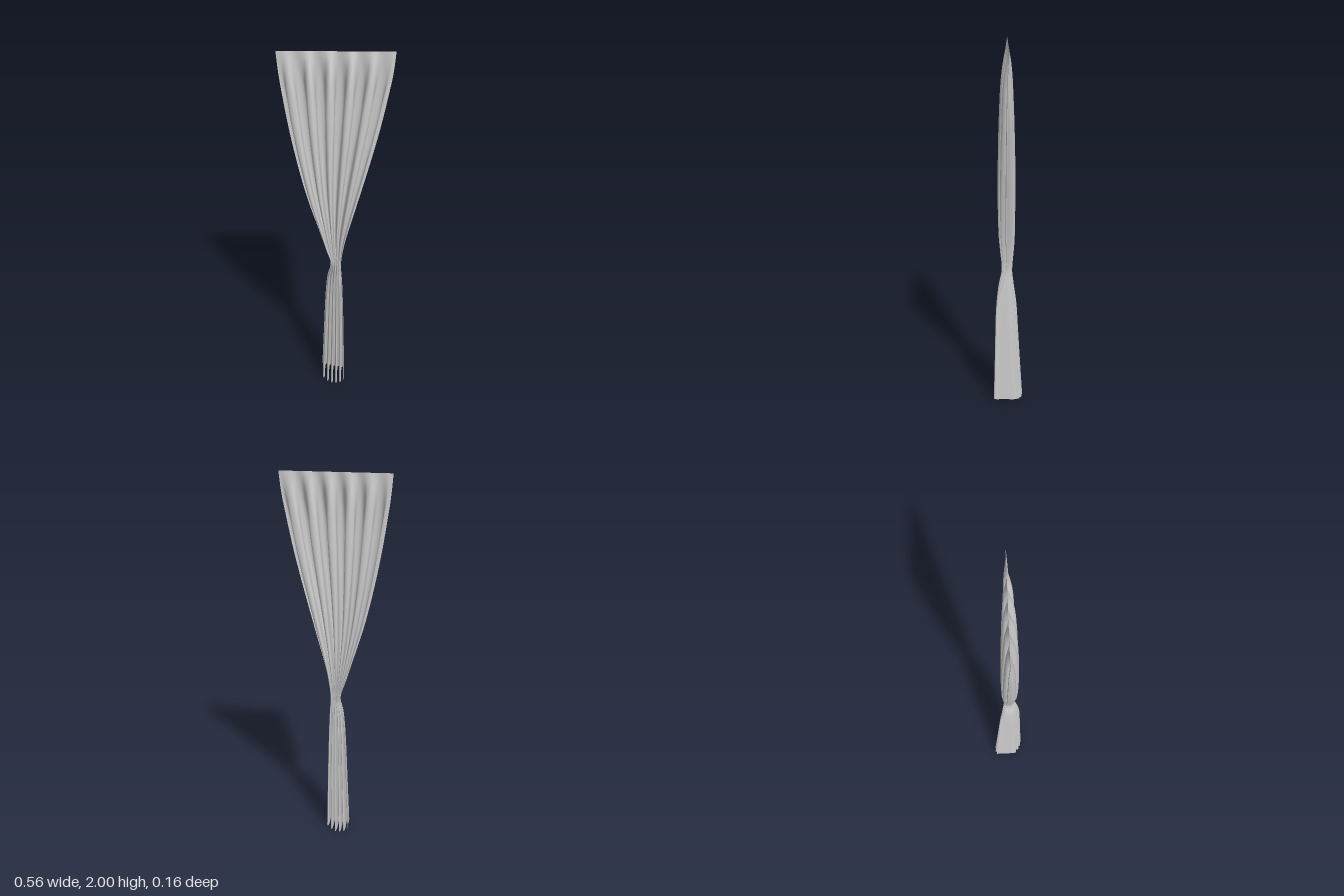
import * as THREE from 'three';

// Outline of the gathered cloth: height, left x, right x, front z, back z
const OUTLINE = [
  [2.0, -0.285, 0.28, 0.0, 0.0],
  [1.9, -0.277, 0.27, 0.024, -0.016],
  [1.8, -0.265, 0.253, 0.038, -0.024],
  [1.6, -0.235, 0.213, 0.048, -0.032],
  [1.4, -0.197, 0.165, 0.053, -0.037],
  [1.2, -0.15, 0.113, 0.055, -0.038],
  [1.0, -0.09, 0.06, 0.051, -0.036],
  [0.9, -0.06, 0.038, 0.043, -0.03],
  [0.8, -0.031, 0.025, 0.035, -0.022],
  [0.7, -0.05, 0.032, 0.052, -0.03],
  [0.55, -0.062, 0.038, 0.063, -0.042],
  [0.3, -0.073, 0.043, 0.07, -0.058],
  [0.0, -0.085, 0.047, 0.078, -0.078],
];
const PLEATS = 5.5, COLS = 132, ROWS = 60;

const curve = (pick) => new THREE.CatmullRomCurve3(
  OUTLINE.map((r) => new THREE.Vector3(...pick(r))), false, 'catmullrom', 0.5);

function clothGeometry() {
  const sides = curve((r) => [r[0], r[1], r[2]]);
  const depths = curve((r) => [r[0], r[3], r[4]]);
  const geo = new THREE.PlaneGeometry(1, 1, COLS, ROWS);
  const pos = geo.attributes.position;

  for (let j = 0; j <= ROWS; j++) {
    const t = j / ROWS;
    const { x: y, y: left, z: right } = sides.getPoint(t);
    const { y: front, z: back } = depths.getPoint(t);
    const width = right - left;
    const below = THREE.MathUtils.smoothstep(0.85 - y, 0, 0.3);
    const loop = 0.11 * THREE.MathUtils.smoothstep(2 - y, 0.03, 0.35);
    const taper = THREE.MathUtils.lerp(0.95, 0.5, below);

    for (let i = 0; i <= COLS; i++) {
      const s = i / COLS, u = 2 * s - 1;
      // right edge ends on a front fold, left edge on a back fold
      const a = (1 - s) * PLEATS * Math.PI * 2;
      const wave = Math.cos(a);
      const swell = Math.sqrt(1 - taper * u * u);
      // folds bulge sideways so that neighbours overlap
      const x = left + width * (s - loop / PLEATS * Math.sin(2 * a));
      const z = (wave > 0 ? front : -back) * wave * swell + 0.018 * u * below;
      const hem = 0.022 * u * u * THREE.MathUtils.smoothstep(0.3 - y, 0, 0.3);
      pos.setXYZ(j * (COLS + 1) + i, x, y + hem, z);
    }
  }
  geo.computeVertexNormals();
  return geo;
}

export function createModel() {
  const group = new THREE.Group();
  group.name = 'tiedCurtain';
  const fabric = new THREE.MeshStandardMaterial({ color: 0xcccccc, side: THREE.DoubleSide });
  fabric.name = 'light grey fabric';

  // One pleated sheet, drawn in at the tie
  const cloth = new THREE.Mesh(clothGeometry(), fabric);
  cloth.name = 'pleatedCloth';
  group.add(cloth);
  return group;
}
